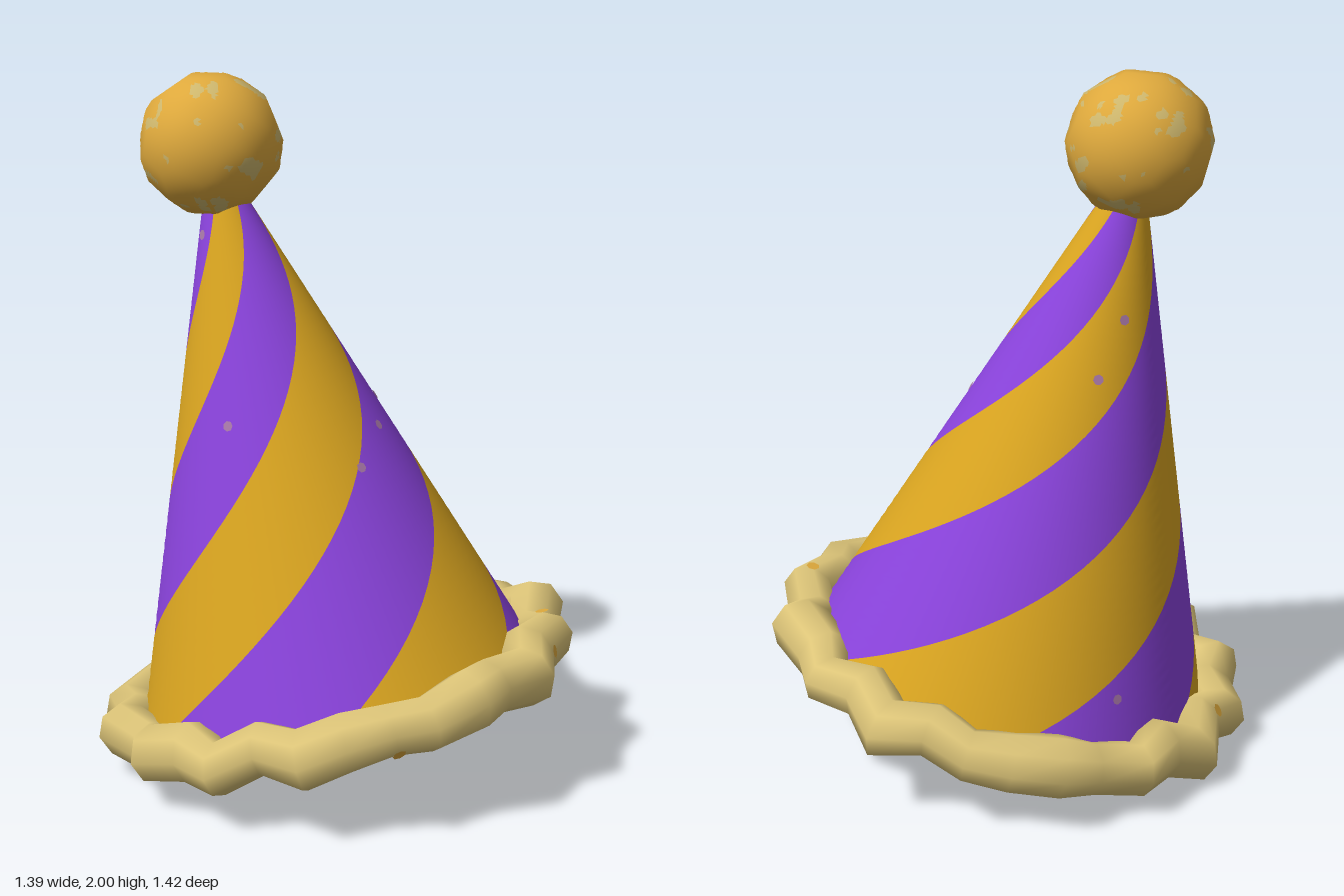
import * as THREE from 'three';
import { mergeVertices } from 'three/addons/utils/BufferGeometryUtils.js';

const mat = (name, color, side = THREE.FrontSide) =>
  new THREE.MeshStandardMaterial({ name, color, side });

const RAD = Math.PI / 180;
const AXIS = new THREE.Vector3(-0.32, 1.56, 0.17); // brim centre to pompom centre
const LENGTH = AXIS.length();
const TWIST = 242 * RAD;                           // stripe turn over the full length
const coneRadius = s => 0.58 - 0.575 * s;

function mesh(name, geometry, material) {
  const m = new THREE.Mesh(geometry, material);
  m.name = name;
  return m;
}

// Small flat fleck lying on a surface point
function fleck(name, point, normal, radius, material) {
  const m = mesh(name, new THREE.CircleGeometry(radius, 7), material);
  m.position.copy(point).addScaledVector(normal, 0.004);
  m.quaternion.setFromUnitVectors(new THREE.Vector3(0, 0, 1), normal);
  return m;
}

// Open cone whose columns twist upward; every ten columns swap colour
function makeCone(materials) {
  const cols = 60, rows = 48, s0 = -0.02, s1 = 0.99;
  const geo = new THREE.CylinderGeometry(coneRadius(s1), coneRadius(s0), (s1 - s0) * LENGTH,
    cols, rows, true, -19 * RAD, Math.PI * 2);
  geo.translate(0, (s0 + s1) / 2 * LENGTH, 0);
  const p = geo.attributes.position, n = geo.attributes.normal;
  const v = new THREE.Vector3(), up = new THREE.Vector3(0, 1, 0);
  for (let i = 0; i < p.count; i++) {
    const angle = TWIST * p.getY(i) / LENGTH;
    v.fromBufferAttribute(p, i).applyAxisAngle(up, angle);
    p.setXYZ(i, v.x, v.y, v.z);
    v.fromBufferAttribute(n, i).applyAxisAngle(up, angle);
    n.setXYZ(i, v.x, v.y, v.z);
  }
  geo.clearGroups();
  const perStripe = geo.index.count / 6;
  for (let k = 0; k < 6; k++) geo.addGroup(k * perStripe, perStripe, k % 2);
  return mesh('stripedCone', geo, materials);
}

// Lumpy ring: a coarse torus with its centre line zigzagging
function makeBrim(material) {
  const R = 0.61, tube = 0.082, segments = 32;
  let geo = new THREE.TorusGeometry(R, tube, 8, segments);
  geo.rotateX(-Math.PI / 2);
  geo.deleteAttribute('uv');
  geo.deleteAttribute('normal');
  const p = geo.attributes.position;
  for (let i = 0; i < p.count; i++) {
    const x = p.getX(i), z = p.getZ(i), a = Math.atan2(z, x);
    const k = (Math.round(a / (Math.PI * 2) * segments) + segments) % segments;
    const out = k % 2 ? 0.028 : -0.02;
    const lift = 0.02 * Math.sin(k * 2.4);
    const fat = 1 + 0.1 * Math.sin(k * 1.7);
    const r = R + out + (Math.hypot(x, z) - R) * fat;
    p.setXYZ(i, Math.cos(a) * r, p.getY(i) * fat + lift, Math.sin(a) * r);
  }
  geo = mergeVertices(geo, 1e-4);
  geo.computeVertexNormals();
  return mesh('lumpyBrim', geo, material);
}

// Slightly faceted ball with blotches
function makePompom(materials) {
  const planes = [];
  for (let i = 0; i < 44; i++) {
    const y = 1 - 2 * (i + 0.5) / 44, r = Math.sqrt(1 - y * y), a = i * 2.39996;
    planes.push(new THREE.Vector3(r * Math.cos(a), y, r * Math.sin(a)));
  }
  let geo = new THREE.IcosahedronGeometry(1, 20);
  geo.deleteAttribute('uv');
  geo = mergeVertices(geo, 1e-4);
  const p = geo.attributes.position, n = geo.attributes.normal, v = new THREE.Vector3();
  const patch = [];
  for (let i = 0; i < p.count; i++) {
    v.fromBufferAttribute(p, i).normalize();
    n.setXYZ(i, v.x, v.y, v.z);
    const { x, y, z } = v;
    patch.push(Math.sin(9 * x + 3 * y + 1) + Math.sin(10 * y - 4 * z) + Math.sin(9 * z + 5 * x + 2)
      + 0.7 * Math.sin(19 * x - 13 * z) + 0.7 * Math.sin(21 * y + 11 * x));
    let r = 0.206;
    for (const d of planes) {
      const c = d.dot(v);
      if (c > 0.5) r = Math.min(r, 0.193 / c);
    }
    p.setXYZ(i, x * r, y * r, z * r);
  }
  const main = [], blotch = [], idx = geo.index.array;
  for (let i = 0; i < idx.length; i += 3) {
    const [a, b, c] = [idx[i], idx[i + 1], idx[i + 2]];
    (patch[a] + patch[b] + patch[c] > 4.5 ? blotch : main).push(a, b, c);
  }
  geo.setIndex([...main, ...blotch]);
  geo.clearGroups();
  geo.addGroup(0, main.length, 0);
  geo.addGroup(main.length, blotch.length, 1);
  const ball = mesh('pompom', geo, materials);
  ball.position.y = LENGTH;
  return ball;
}

export function createModel() {
  const purple = mat('purple', 0x8a43dc, THREE.DoubleSide);
  const gold = mat('gold', 0xdaa520, THREE.DoubleSide);
  const cream = mat('cream', 0xdcc478);
  const amber = mat('amber', 0xdda83c);
  const straw = mat('straw', 0xcdb66c);
  const mauve = mat('mauve', 0xa878a8, THREE.DoubleSide);

  const hat = new THREE.Group();
  hat.name = 'partyHat';
  hat.position.y = 0.25;
  hat.quaternion.setFromUnitVectors(new THREE.Vector3(0, 1, 0), AXIS.clone().normalize());
  const brim = makeBrim(cream);
  hat.add(makeCone([purple, gold]), brim, makePompom([amber, straw]));

  // Flecks on the purple stripes: height fraction and angle
  const flecks = [[0.53, 72], [0.85, 104], [0.46, -18], [0.41, 8], [0.5, -40], [0.62, -140], [0.72, 205], [0.1, 195]];
  for (const [s, deg] of flecks) {
    const a = deg * RAD, slope = 0.575 / LENGTH, r = coneRadius(s);
    const normal = new THREE.Vector3(Math.cos(a), slope, Math.sin(a)).normalize();
    const point = new THREE.Vector3(Math.cos(a) * r, s * LENGTH, Math.sin(a) * r);
    hat.add(fleck('coneFleck', point, normal, 0.015, mauve));
  }

  // Amber flecks on the brim
  const bp = brim.geometry.attributes.position, bn = brim.geometry.attributes.normal;
  for (let i = 5; i < bp.count; i += 31) {
    hat.add(fleck('brimFleck', new THREE.Vector3().fromBufferAttribute(bp, i),
      new THREE.Vector3().fromBufferAttribute(bn, i), 0.02, amber));
  }

  const model = new THREE.Group();
  model.name = 'model';
  model.add(hat);
  return model;
}
